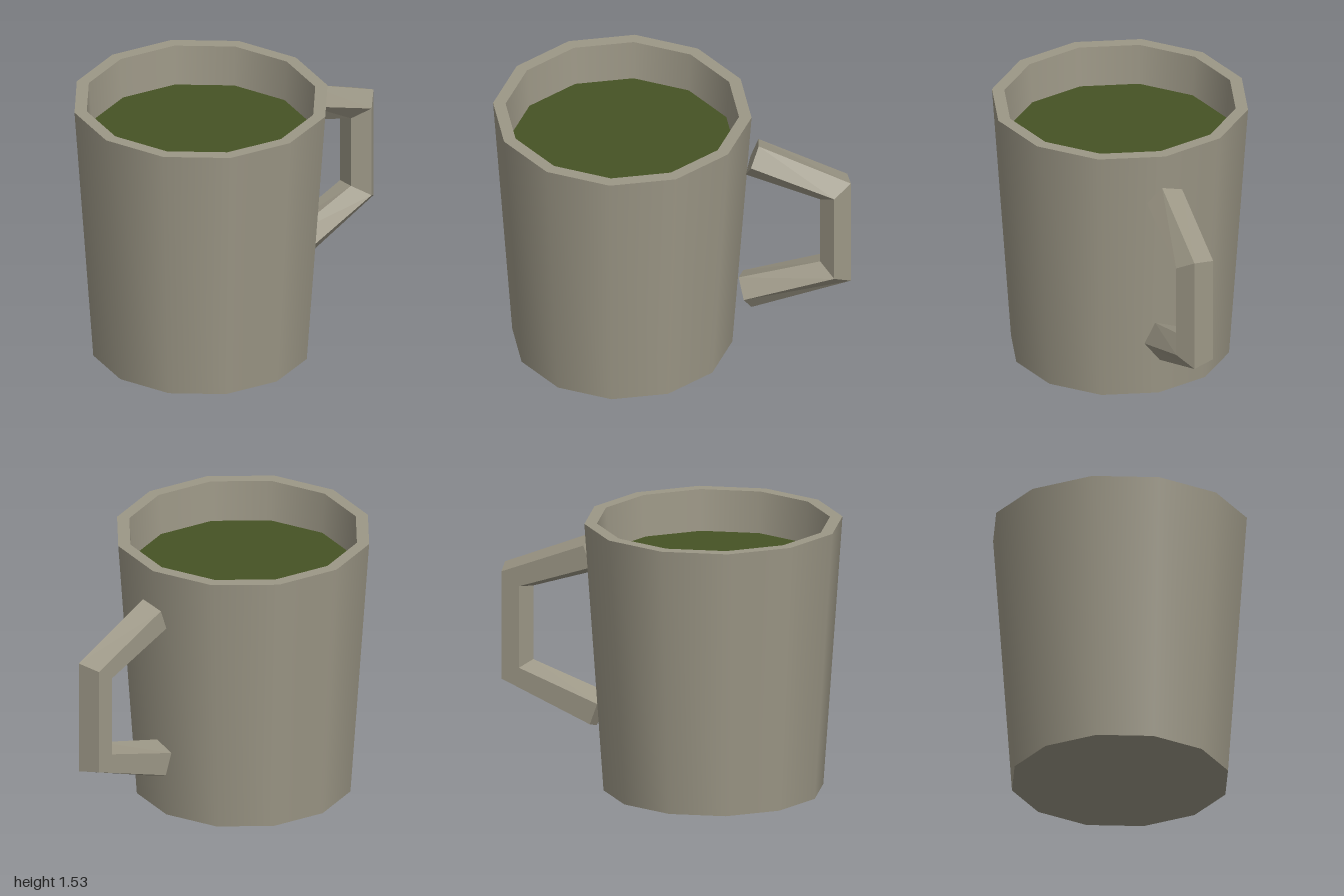
import * as THREE from 'three';

const SIDES = 12;
const CUP_X = -0.28;

export function createModel() {
  const clay = new THREE.MeshStandardMaterial({ color: 0x9c9786 });
  clay.name = 'clay';
  const tea = new THREE.MeshStandardMaterial({ color: 0x465324 });
  tea.name = 'green tea';

  const model = new THREE.Group();
  model.name = 'mug';
  const add = (parent, name, geometry, material) => {
    const mesh = new THREE.Mesh(geometry, material);
    mesh.name = name;
    parent.add(mesh);
    return mesh;
  };

  // Cup: each straight run of the profile is its own lathe, so the rims stay sharp
  const cup = new THREE.Group();
  cup.name = 'cup';
  cup.position.x = CUP_X;
  model.add(cup);
  const profile = [
    ['base', 0, 0],
    ['outerWall', 0.613, 0],
    ['rim', 0.72, 1.535],
    ['innerWall', 0.65, 1.535],
    ['innerFloor', 0.55, 0.08],
    ['', 0, 0.08],
  ].map(([name, x, y]) => ({ name, point: new THREE.Vector2(x, y) }));
  for (let i = 0; i < profile.length - 1; i++) {
    const run = [profile[i].point, profile[i + 1].point];
    add(cup, profile[i].name, new THREE.LatheGeometry(run, SIDES), clay);
  }

  // Drink surface
  const drink = add(cup, 'drink', new THREE.CircleGeometry(0.633, SIDES), tea);
  drink.rotation.x = -Math.PI / 2;
  drink.position.y = 1.3;

  // Handle: five-sided bar bent through four stations
  add(model, 'handle', handleGeometry(), clay);
  return model;
}

function handleGeometry() {
  const R = 0.11;
  // Centre x, centre y and outward angle of each cross-section, top to bottom
  const stations = [
    [0.447, 1.267, 70],
    [0.911, 1.088, 35],
    [0.911, 0.545, -35],
    [0.407, 0.365, -70],
  ];
  const rings = stations.map(([x, y, degrees]) => {
    const tilt = THREE.MathUtils.degToRad(degrees);
    return Array.from({ length: 5 }, (_, j) => {
      const a = THREE.MathUtils.degToRad(18 + 72 * j);
      const out = R * Math.cos(a);
      return [x + out * Math.cos(tilt), y + out * Math.sin(tilt), R * Math.sin(a)];
    });
  });

  const positions = [];
  const face = (...corners) => corners.forEach((c) => positions.push(...c));

  // Sides
  for (let i = 0; i < rings.length - 1; i++) {
    for (let j = 0; j < 5; j++) {
      const k = (j + 1) % 5;
      face(rings[i][j], rings[i][k], rings[i + 1][k]);
      face(rings[i][j], rings[i + 1][k], rings[i + 1][j]);
    }
  }

  // End caps
  const first = rings[0];
  const last = rings[rings.length - 1];
  for (let j = 1; j < 4; j++) {
    face(first[0], first[j + 1], first[j]);
    face(last[0], last[j], last[j + 1]);
  }

  const geometry = new THREE.BufferGeometry();
  geometry.setAttribute('position', new THREE.Float32BufferAttribute(positions, 3));
  geometry.computeVertexNormals();
  return geometry;
}
